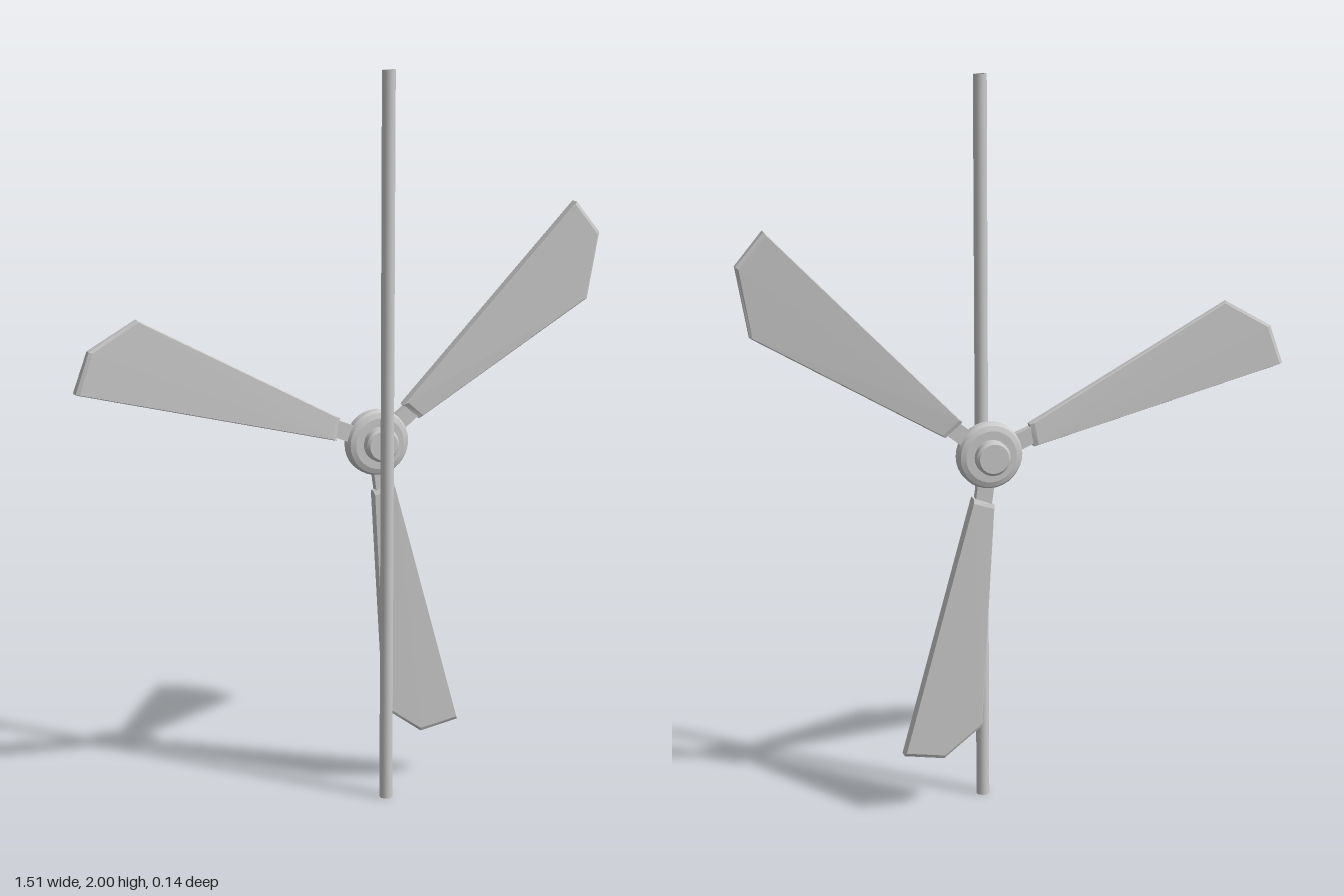
import * as THREE from 'three';

const grey = new THREE.MeshStandardMaterial({ color: 0xcccccc });
const greyOpen = new THREE.MeshStandardMaterial({ color: 0xcccccc, side: THREE.DoubleSide });

function part(name, geometry, material = grey) {
  const mesh = new THREE.Mesh(geometry, material);
  mesh.name = name;
  return mesh;
}

// Flat tapered plate: thick straight edge, thin swept edge, chamfered rim
function bladeGeometry(shoulder) {
  // x, y, half thickness; counter-clockwise from the front
  const outline = [
    [0.076, 0.098, 0.018], [0.123, 0.057, 0.014],
    [...shoulder, 0.009], [0.667, 0.54, 0.014], [0.593, 0.627, 0.018],
  ];
  const n = outline.length;
  const cx = outline.reduce((s, p) => s + p[0], 0) / n;
  const cy = outline.reduce((s, p) => s + p[1], 0) / n;
  const ring = (inset, depth) => outline.map(([x, y, t]) =>
    [x + (cx - x) * inset, y + (cy - y) * inset, t * depth]);
  const rings = [ring(0.03, -1), ring(0, -0.7), ring(0, 0.7), ring(0.03, 1)];
  const positions = [];
  const tri = (a, b, c) => positions.push(...a, ...b, ...c);
  // rim
  for (let r = 0; r < rings.length - 1; r++) {
    for (let i = 0; i < n; i++) {
      const j = (i + 1) % n;
      tri(rings[r][i], rings[r][j], rings[r + 1][j]);
      tri(rings[r][i], rings[r + 1][j], rings[r + 1][i]);
    }
  }
  // front and back faces
  const back = rings[0], front = rings[3];
  for (let i = 1; i < n - 1; i++) {
    tri(front[0], front[i], front[i + 1]);
    tri(back[0], back[i + 1], back[i]);
  }
  const geometry = new THREE.BufferGeometry();
  geometry.setAttribute('position', new THREE.Float32BufferAttribute(positions, 3));
  geometry.computeVertexNormals();
  return geometry;
}

// Lathe with hard edges: each profile segment gets its own normals
function turned(name, profile) {
  const group = new THREE.Group();
  group.name = name;
  for (let i = 0; i < profile.length - 1; i++) {
    const pts = [profile[i], profile[i + 1]].map(([r, h]) => new THREE.Vector2(r, h));
    group.add(part(name + 'Band', new THREE.LatheGeometry(pts, 32)));
  }
  group.rotation.x = Math.PI / 2;
  return group;
}

export function createModel() {
  const model = new THREE.Group();
  model.name = 'rotorOnRod';

  // Upright hollow rod
  const rod = part('rod', new THREE.CylinderGeometry(0.018, 0.018, 2, 20, 1, true), greyOpen);
  rod.position.set(0.083, 1, 0.055);
  model.add(rod);

  const rotor = new THREE.Group();
  rotor.name = 'rotor';
  rotor.position.set(0.083, 1, -0.018);
  model.add(rotor);

  // Hub with a rounded flange around its middle
  rotor.add(turned('hub', [
    [0, -0.051], [0.04, -0.051], [0.047, -0.045], [0.047, -0.024],
    [0.07, -0.024], [0.084, -0.019], [0.09, -0.01], [0.09, 0.01],
    [0.084, 0.019], [0.07, 0.024], [0.047, 0.024],
    [0.047, 0.045], [0.04, 0.051], [0, 0.051],
  ]));

  // Three blades, each with slightly different swept corner
  const shoulders = [[0.635, 0.355], [0.666, 0.391], [0.652, 0.405]];
  shoulders.forEach((shoulder, i) => {
    const arm = new THREE.Group();
    arm.name = 'bladeArm' + (i + 1);
    arm.rotation.z = i * Math.PI * 2 / 3;
    arm.add(part('blade', bladeGeometry(shoulder)));
    const neck = part('neck', new THREE.BoxGeometry(0.07, 0.046, 0.022));
    const angle = 0.665;
    neck.position.set(0.11 * Math.cos(angle), 0.11 * Math.sin(angle), 0);
    neck.rotation.z = angle;
    arm.add(neck);
    rotor.add(arm);
  });

  return model;
}
